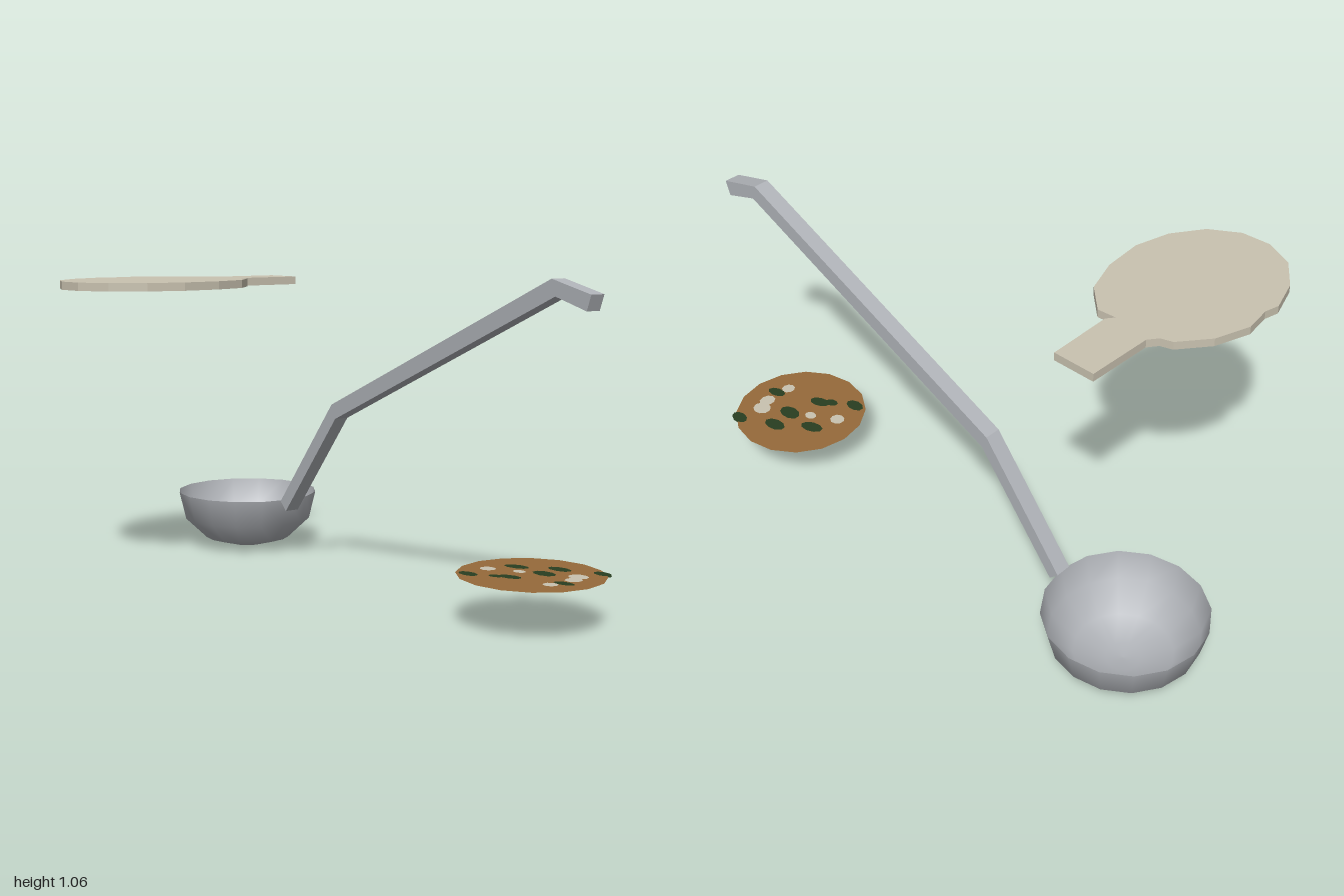
import * as THREE from 'three';

const mat = (name, color, side = THREE.FrontSide) => {
  const m = new THREE.MeshStandardMaterial({ color, side });
  m.name = name;
  return m;
};

// Shape from [x, y] pairs
const outline = (pts) => new THREE.Shape(pts.map(([x, y]) => new THREE.Vector2(x, y)));

export function createModel() {
  const group = new THREE.Group();
  const metal = mat('brushed metal', 0xb0b3b8);
  const bowlMetal = mat('bowl metal', 0xb0b3b8, THREE.DoubleSide);
  const cream = mat('cream', 0xc9c2b0);
  const broth = mat('broth brown', 0x966a3a, THREE.DoubleSide);
  const herb = mat('herb green', 0x283e20, THREE.DoubleSide);
  const chunk = mat('chunk cream', 0xc9c2b0, THREE.DoubleSide);

  const add = (name, geometry, material, x = 0, y = 0, z = 0, parent = group) => {
    const mesh = new THREE.Mesh(geometry, material);
    mesh.name = name;
    mesh.position.set(x, y, z);
    parent.add(mesh);
    return mesh;
  };

  // Ladle bowl: thin open shell
  const profile = [[0, 0], [0.055, 0.003], [0.157, 0.031], [0.236, 0.106], [0.26, 0.206]]
    .map(([r, y]) => new THREE.Vector2(r, y));
  add('ladleBowl', new THREE.LatheGeometry(profile, 16), bowlMetal, -0.74, 0, -0.308);

  // Ladle handle: bent square bar
  const handle = outline([
    [-0.487, 0.203], [-0.455, 0.171], [-0.166, 0.54], [0.861, 1.005],
    [0.984, 0.968], [1.0, 1.016], [0.845, 1.056], [-0.187, 0.588],
  ]);
  add('ladleHandle', new THREE.ExtrudeGeometry(handle, { depth: 0.054, bevelEnabled: false }),
    metal, 0, 0, -0.334);

  // Round lid with a tab, given as [x, z]
  const lid = outline([
    [-0.578, -0.308], [-0.433, -0.308], [-0.43, -0.085], [-0.449, -0.06], [-0.385, -0.065],
    [-0.3, 0.016], [-0.257, 0.139], [-0.246, 0.278], [-0.278, 0.401], [-0.348, 0.503],
    [-0.444, 0.561], [-0.545, 0.566], [-0.647, 0.519], [-0.722, 0.422], [-0.76, 0.31],
    [-0.748, 0.26], [-0.762, 0.17], [-0.722, 0.053], [-0.647, -0.04], [-0.607, -0.053],
    [-0.583, -0.085],
  ].map(([x, z]) => [x, -z]));
  const lidGeometry = new THREE.ExtrudeGeometry(lid, { depth: 0.027, bevelEnabled: false });
  lidGeometry.rotateX(-Math.PI / 2);
  add('lid', lidGeometry, cream, 0, 0.995, 0);

  // Soup surface with floating pieces
  const soup = new THREE.Group();
  soup.name = 'soup';
  soup.position.set(0.76, 0.16, -0.31);
  group.add(soup);
  add('soupSurface', new THREE.CircleGeometry(0.23, 16).rotateX(-Math.PI / 2), broth, 0, 0, 0, soup);

  // Pieces: x, z, half width, half depth, turn; shown on both faces of the soup
  const scatter = (name, material, list) => {
    for (const [x, z, w, d, turn] of list) {
      for (const y of [0.002, -0.002]) {
        const g = new THREE.CircleGeometry(1, 9).scale(w, d, 1).rotateX(-Math.PI / 2).rotateY(turn);
        add(name, g, material, x, y, z, soup);
      }
    }
  };
  scatter('herbPiece', herb, [
    [0.008, -0.114, 0.042, 0.025, 0.1], [0.13, -0.173, 0.034, 0.022, -0.1],
    [-0.098, -0.035, 0.042, 0.024, 0.3], [0.02, -0.035, 0.042, 0.028, 0],
    [-0.012, 0.078, 0.038, 0.022, 0.3], [-0.046, 0.104, 0.024, 0.017, 0.3],
    [-0.119, 0.15, 0.036, 0.023, 0], [0.145, 0.01, 0.035, 0.02, 0.2],
  ]);
  scatter('creamPiece', chunk, [
    [0.112, -0.086, 0.033, 0.03, 0], [0.132, -0.045, 0.026, 0.03, 0],
    [0.13, 0.052, 0.023, 0.024, 0], [-0.132, 0.055, 0.026, 0.025, 0],
    [-0.046, 0.005, 0.022, 0.018, 0],
  ]);

  return group;
}
